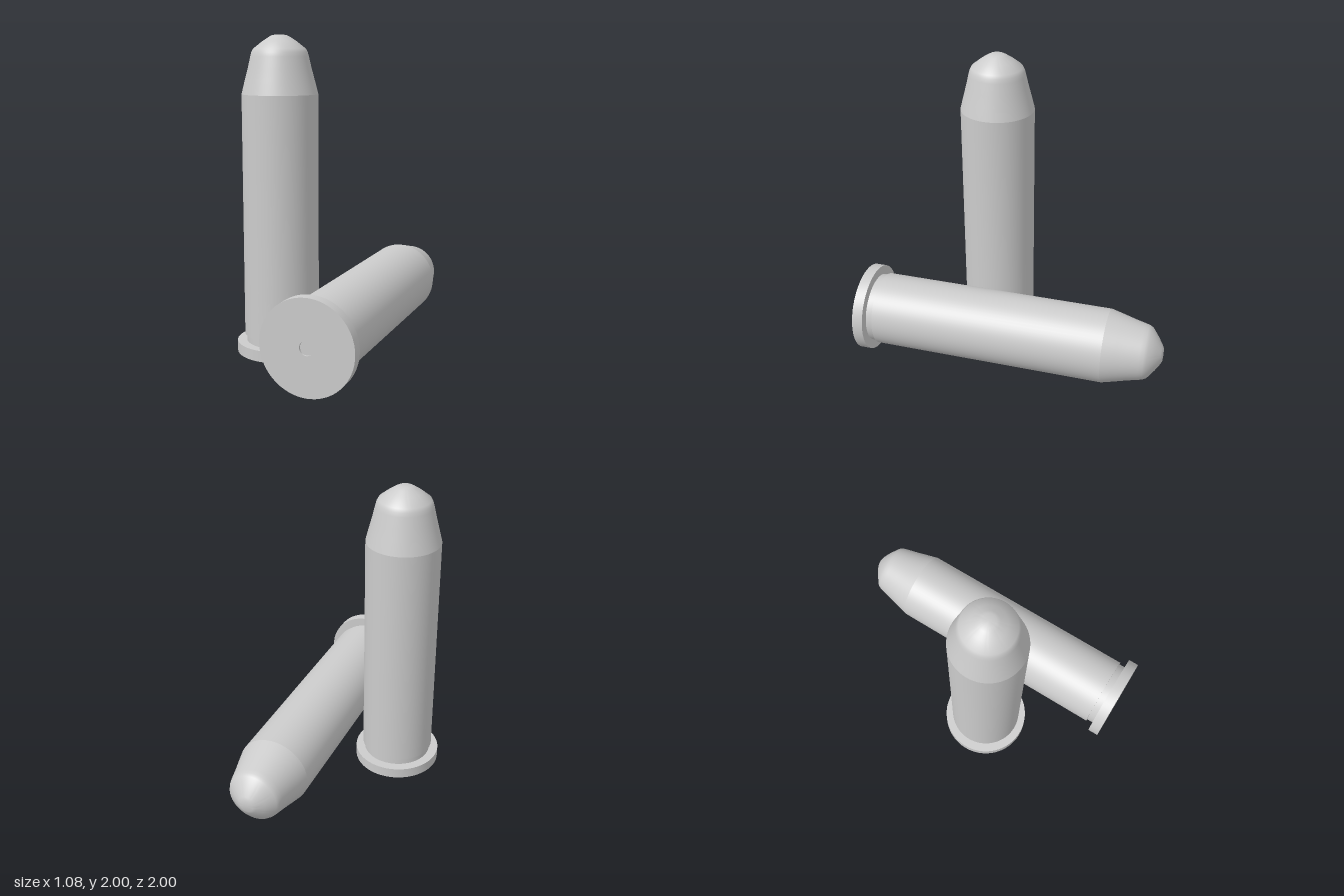
import * as THREE from 'three';
import { toCreasedNormals } from 'three/addons/utils/BufferGeometryUtils.js';

const SEGMENTS = 64;
const material = new THREE.MeshStandardMaterial({ color: 0xcccccc });

// Turned part from a [radius, height] profile listed bottom to top
function turned(name, profile, crease) {
  const points = profile.map(([r, y]) => new THREE.Vector2(r, y));
  const geometry = toCreasedNormals(new THREE.LatheGeometry(points, SEGMENTS), crease);
  const mesh = new THREE.Mesh(geometry, material);
  mesh.name = name;
  return mesh;
}

// One round standing on its base, axis along y
function createRound(name) {
  const round = new THREE.Group();
  round.name = name;
  round.add(
    // Small recessed cap in the middle of the base
    turned('primer', [[0, 0.012], [0.042, 0.012], [0.042, 0]], 0.5),
    // Flat base, rim and extraction groove
    turned('rim', [[0.042, 0], [0.285, 0], [0.285, 0.07], [0.225, 0.07]], 0.5),
    turned('groove', [[0.225, 0.07], [0.225, 0.115], [0.237, 0.115]], 0.5),
    // Straight case wall
    turned('case', [[0.237, 0.115], [0.237, 1.64]], 0.5),
    // Tapered nose with a soft shoulder and a small flat tip
    turned('bullet', [
      [0.237, 1.64], [0.217, 1.72], [0.196, 1.8], [0.18, 1.87], [0.173, 1.896],
      [0.162, 1.917], [0.105, 1.962], [0.062, 1.99], [0.042, 2], [0, 2],
    ], 0.7),
  );
  return round;
}

export function createModel() {
  const model = new THREE.Group();
  model.name = 'cartridgePair';

  const standing = createRound('standingRound');
  standing.position.set(-0.257, 0, 0.23);

  // Lying round: base to the front, nose to the back
  const lying = createRound('lyingRound');
  lying.rotation.x = -Math.PI / 2;
  lying.position.set(0.257, 0.313, 1);

  model.add(standing, lying);
  return model;
}
